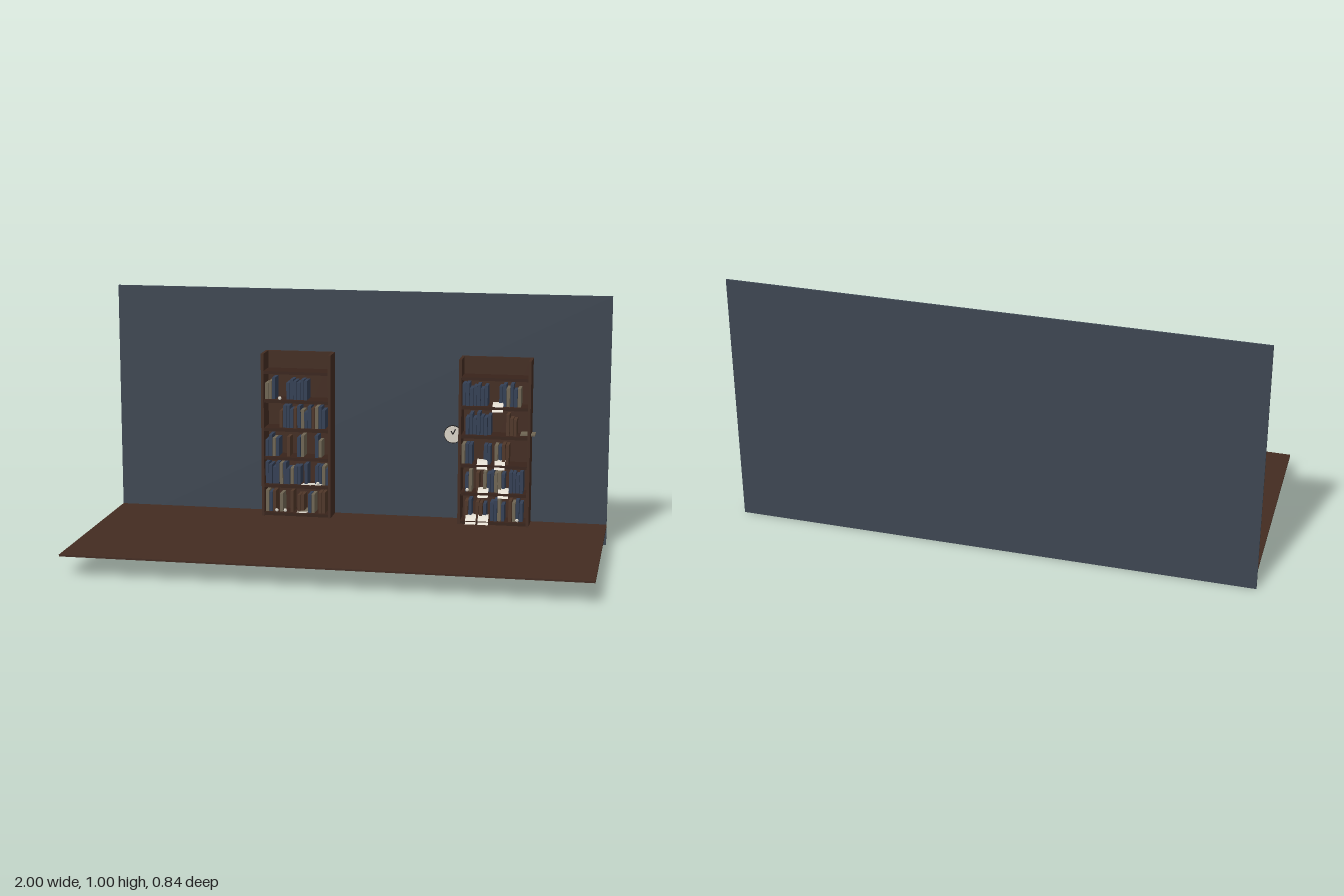
import * as THREE from 'three';

const mat = (name, color) => {
  const m = new THREE.MeshStandardMaterial({ color });
  m.name = name;
  return m;
};

export function createModel() {
  const wallPaint = mat('slate wall', 0x3d4651);
  const wood = mat('dark wood', 0x432c21);
  const edgeWood = mat('shelf wood', 0x38231a);
  const blue = mat('blue cover', 0x333f54);
  const tan = mat('tan cover', 0x6f6553);
  const brown = mat('brown cover', 0x4f3628);
  const paper = mat('paper', 0xd8d2c6);
  const ink = mat('black metal', 0x1d1b1c);
  const sheet = mat('loose sheet', 0xd8d2c6);
  sheet.side = THREE.DoubleSide;
  const covers = { b: blue, t: tan, n: brown };

  const room = new THREE.Group();
  room.name = 'room';

  // Box given by its lower and upper corners
  function box(parent, name, material, x0, x1, y0, y1, z0, z1) {
    const m = new THREE.Mesh(new THREE.BoxGeometry(x1 - x0, y1 - y0, z1 - z0), material);
    m.position.set((x0 + x1) / 2, (y0 + y1) / 2, (z0 + z1) / 2);
    m.name = name;
    parent.add(m);
    return m;
  }

  let seed = 11;
  const rnd = () => (seed = (seed * 16807) % 2147483647) / 2147483647;

  box(room, 'wall', wallPaint, -1, 1, 0, 1, -0.42, -0.413);
  box(room, 'floor', wood, -1, 1, 0.078, 0.085, -0.413, 0.42);

  // Sheet lying on a board; drop > 0 bends its front over the edge
  function looseSheet(parent, x, y, drop) {
    const g = new THREE.PlaneGeometry(0.042, 0.06, 1, 6);
    const p = g.attributes.position;
    for (let i = 0; i < p.count; i++) {
      const t = 0.5 - p.getY(i) / 0.06;
      const curl = Math.max(0, t - 0.4) / 0.6;
      p.setXYZ(i, p.getX(i), 0.018 * (1 - 2 * curl) * drop + 0.002 + 0.003 * t,
        -0.355 + 0.052 * t - 0.004 * curl * drop);
    }
    g.computeVertexNormals();
    const m = new THREE.Mesh(g, sheet);
    m.position.set(x, y, 0);
    m.name = 'looseSheet';
    parent.add(m);
  }

  // Each row is one shelf from the top down, each letter one book slot
  const boards = [0.674, 0.557, 0.441, 0.323, 0.209, 0.093];
  function bookcase(name, cx, rows) {
    const g = new THREE.Group();
    g.name = name;
    const x0 = cx - 0.142, x1 = cx + 0.142;
    for (const x of [x0, x1 - 0.011]) box(g, 'sidePanel', wood, x, x + 0.011, 0.083, 0.75, -0.413, -0.312);
    box(g, 'backPanel', wood, x0 + 0.011, x1 - 0.011, 0.083, 0.75, -0.413, -0.403);
    for (const y of boards) box(g, 'shelfBoard', edgeWood, x0 + 0.011, x1 - 0.011, y - 0.006, y + 0.006, -0.403, -0.314);
    const slot = 0.262 / 18;
    rows.forEach((row, r) => [...row].forEach((c, i) => {
      const h = 0.065 + 0.027 * rnd();
      const front = -0.33 - 0.008 * rnd();
      if (!covers[c]) return;
      const bx = x0 + 0.011 + i * slot, by = boards[r + 1] + 0.006;
      box(g, 'book', covers[c], bx + 0.001, bx + slot - 0.001, by, by + h, -0.398, front);
    }));
    room.add(g);
    return g;
  }

  const left = bookcase('leftBookcase', -0.243, [
    'ttb...bbbbbb......',
    '....nbbbnbtbbntbb.',
    'bbtb..n..bt...bt..',
    'bbbbtbbtbb.b..bbtb',
    'tbn.t..n.nn.bt.nn.',
  ]);
  const right = bookcase('rightBookcase', 0.555, [
    'bbbbbbb...bbtbbt..',
    '.bbbbbbb....nnn...',
    'tbb...bb.tbnn.....',
    '.bt.n.tbbttb.bbbb.',
    '.nb.nnb.bbtb.ntbb.',
  ]);

  for (const [x, y] of [[0.567, 0.558], [0.508, 0.326], [0.578, 0.326], [0.513, 0.211],
    [0.594, 0.211], [0.465, 0.1], [0.515, 0.1]]) looseSheet(right, x, y, 1);
  for (const [x, y] of [[-0.2, 0.216], [-0.16, 0.217], [-0.22, 0.1]]) looseSheet(left, x, y, 0);

  // Crumpled paper balls on the boards
  for (const [g, x, y] of [[left, -0.31, 0.57], [left, -0.325, 0.108], [left, -0.29, 0.108],
    [left, -0.155, 0.225], [right, 0.45, 0.225], [right, 0.65, 0.108]]) {
    const ball = new THREE.Mesh(new THREE.IcosahedronGeometry(0.008, 0), paper);
    ball.position.set(x, y, -0.322);
    ball.name = 'paperBall';
    g.add(ball);
  }

  // Flat books, one reaching past the bookcase side
  box(right, 'flatBook', tan, 0.655, 0.713, 0.447, 0.453, -0.403, -0.345);
  box(left, 'flatBook', tan, -0.245, -0.195, 0.099, 0.106, -0.395, -0.335);

  // Wall clock
  const clock = new THREE.Group();
  clock.name = 'wallClock';
  clock.position.set(0.38, 0.43, -0.411);
  const disc = (name, m, r, z) => {
    const d = new THREE.Mesh(new THREE.CylinderGeometry(r, r, 0.005, 24), m);
    d.rotation.x = Math.PI / 2;
    d.position.z = z;
    d.name = name;
    clock.add(d);
  };
  disc('clockRim', ink, 0.037, 0);
  disc('clockFace', paper, 0.034, 0.001);
  for (const [len, a] of [[0.024, -0.45], [0.016, 0.5]]) {
    const hand = new THREE.Group();
    hand.name = 'clockHand';
    hand.rotation.z = a;
    box(hand, 'handBar', ink, -0.002, 0.002, 0, len, 0.0035, 0.0045);
    clock.add(hand);
  }
  room.add(clock);

  return room;
}
